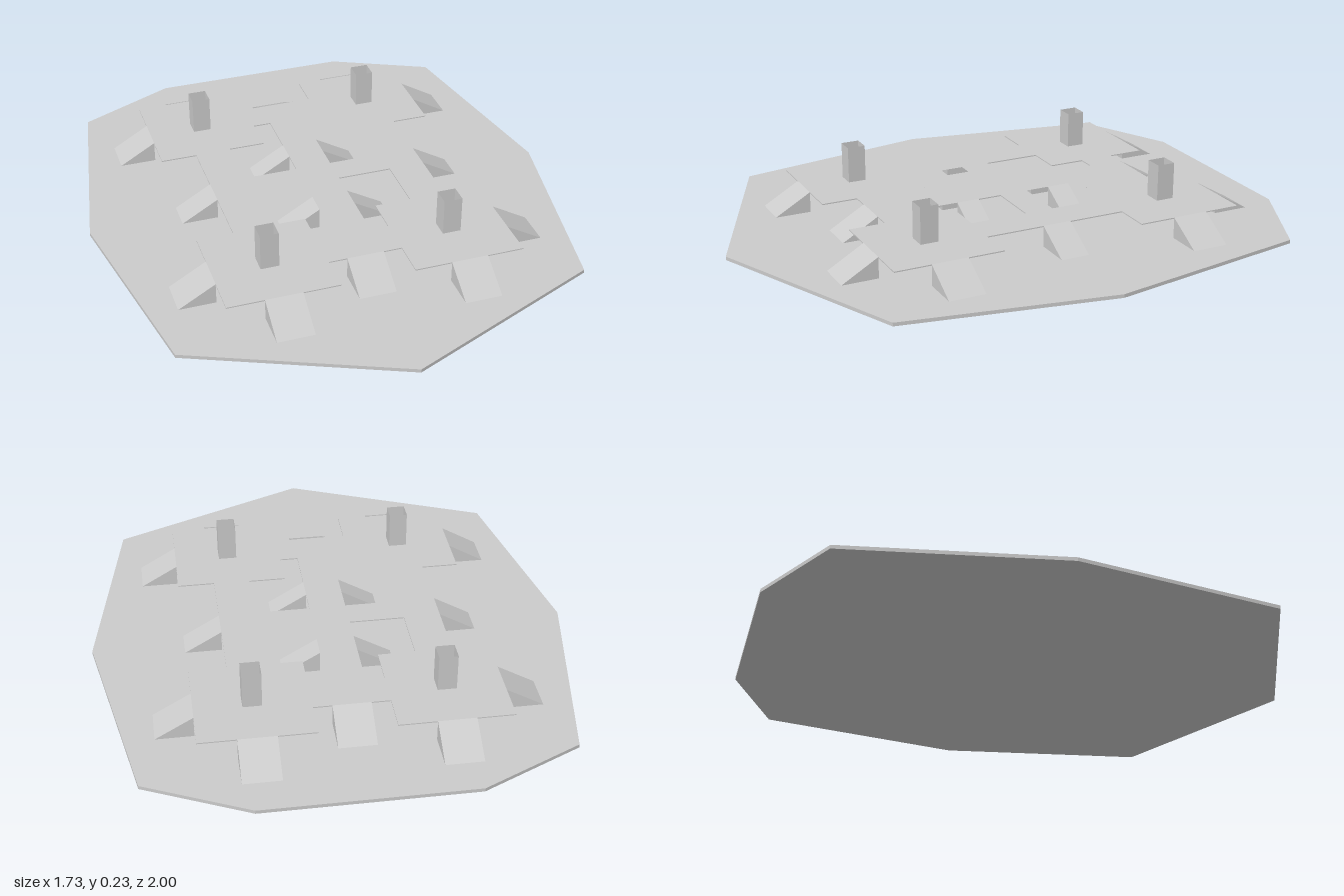
import * as THREE from 'three';

const BASE_TOP = 0.013, DECK_TOP = 0.09, DECK_THICK = 0.004, PILLAR_TOP = 0.225;
const U = 1 / 15;      // layout grid step
const ZC = -0.07;      // middle of the deck along z

const material = new THREE.MeshStandardMaterial({ color: 0xcccccc, flatShading: true });
const openMaterial = new THREE.MeshStandardMaterial({
  color: 0xcccccc, flatShading: true, side: THREE.DoubleSide,
});

const points = (list) => list.map(([x, z]) => new THREE.Vector2(x, z));
const mirrored = (list) => list.map(([x, z]) => [-x, z]).reverse();

// Flat slab from an outline in (x, z), with its upper face at y = top
function slab(name, outline, holes, top, thickness) {
  const shape = new THREE.Shape(points(outline));
  holes.forEach((hole) => shape.holes.push(new THREE.Path(points(hole))));
  const geometry = new THREE.ExtrudeGeometry(shape, { depth: thickness, bevelEnabled: false });
  geometry.rotateX(Math.PI / 2).translate(0, top, 0);
  const mesh = new THREE.Mesh(geometry, material);
  mesh.name = name;
  return mesh;
}

// Wedge whose high edge is at (x, z) and which falls away along the given heading
function ramp(name, x, z, width, heading) {
  const profile = new THREE.Shape(points([[0, 0], [2 * U, 0], [0, DECK_TOP - BASE_TOP]]));
  const geometry = new THREE.ExtrudeGeometry(profile, { depth: width, bevelEnabled: false });
  geometry.translate(0, 0, -width / 2).rotateY(heading).translate(x, BASE_TOP, z);
  const mesh = new THREE.Mesh(geometry, material);
  mesh.name = name;
  return mesh;
}

// Hollow square pillar, open at the top
function pillar(x, z) {
  const height = PILLAR_TOP - DECK_TOP;
  const geometry = new THREE.CylinderGeometry(U / Math.SQRT2, U / Math.SQRT2, height, 4, 1, true);
  geometry.rotateY(Math.PI / 4).translate(x, DECK_TOP + height / 2, z);
  const mesh = new THREE.Mesh(geometry, openMaterial);
  mesh.name = 'pillar';
  return mesh;
}

export function createModel() {
  const model = new THREE.Group();
  model.name = 'rampedPlatform';

  // Nine-sided ground plate, pointed at the front
  const side = [[0.73, 0.685], [0.865, -0.07], [0.73, -0.83], [0.37, -1]];
  model.add(slab('groundPlate', [[0, 1], ...side, ...mirrored(side)], [], BASE_TOP, BASE_TOP));

  // Raised deck: notched outline, with two stepped openings on each side of the spine
  const edge = [
    [2, 8], [2, 10], [8, 10], [8, 4], [6, 4], [6, -4], [8, -4], [8, -10], [2, -10], [2, -8],
  ].map(([x, z]) => [x * U, ZC + z * U]);
  const opening = [[1, 0.8], [4, 0.8], [4, 4], [2, 4], [2, 6], [1, 6]];
  const holes = [];
  for (const sx of [1, -1]) {
    for (const sz of [1, -1]) {
      holes.push(opening.map(([x, z]) => [sx * x * U, ZC - 0.004 + sz * z * U]));
    }
  }
  model.add(slab('deck', [...edge, ...mirrored(edge)], holes, DECK_TOP, DECK_THICK));

  // Ramps facing front and back
  for (const s of [1, -1]) {
    const heading = -s * Math.PI / 2;
    model.add(ramp('middleRamp', 0, ZC + s * 8 * U, 2 * U, heading));
    for (const x of [-5, 5]) model.add(ramp('endRamp', x * U, ZC + s * 10 * U, 2 * U, heading));
  }

  // Ramps facing left and right, and the four pillars
  for (const s of [1, -1]) {
    const heading = s > 0 ? 0 : Math.PI;
    model.add(ramp('waistRamp', s * 6 * U, ZC - 0.004, 1.6 * U, heading));
    for (const t of [1, -1]) {
      model.add(ramp('sideRamp', s * 8 * U, ZC + t * 7 * U, 2 * U, heading));
      model.add(ramp('innerRamp', s * U, ZC - 0.004 + t * 2.78 * U, 0.085, heading));
      model.add(pillar(s * 5 * U, ZC + t * 7 * U));
    }
  }
  return model;
}
